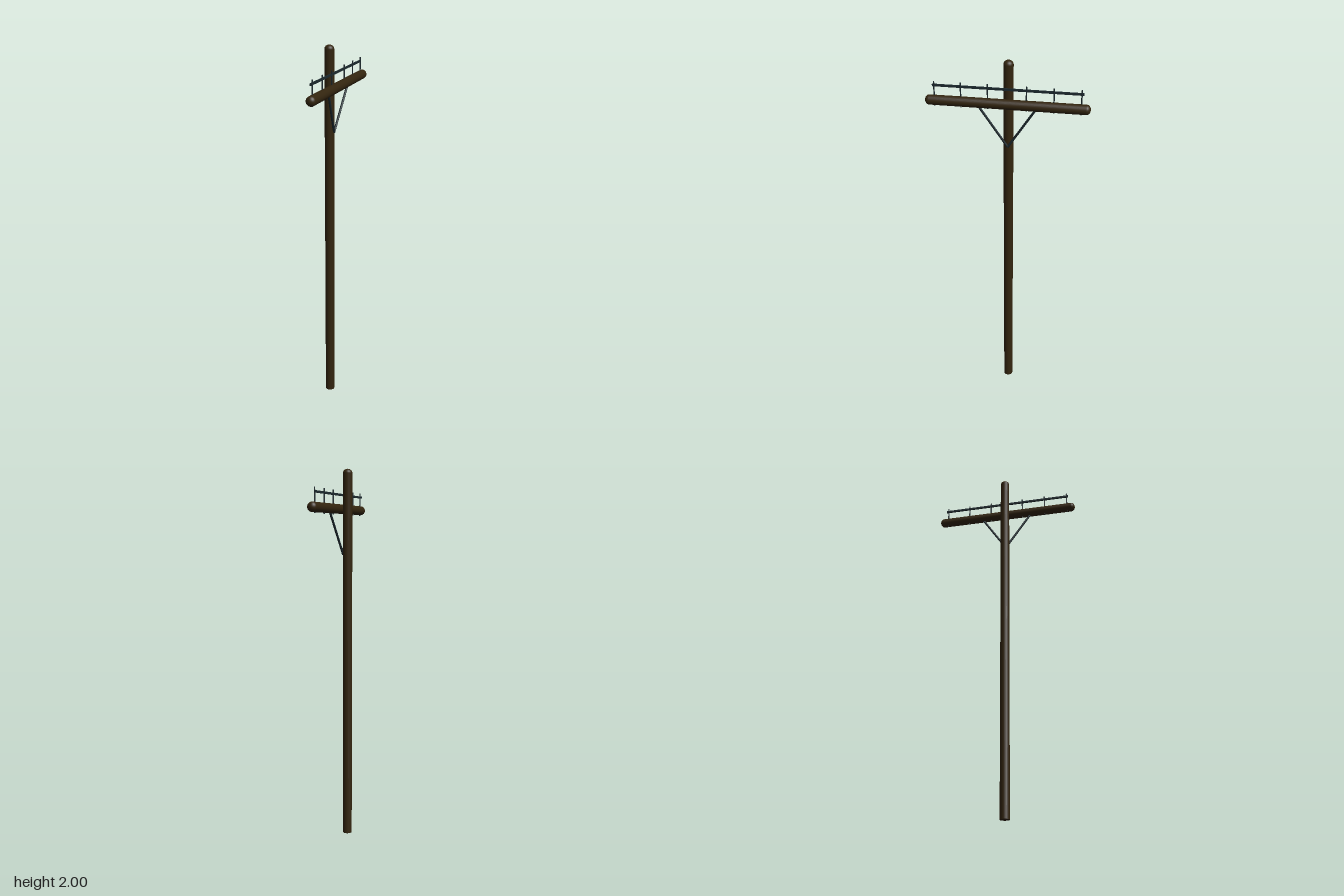
import * as THREE from 'three';

const wood = new THREE.MeshStandardMaterial({ color: 0x33250f });
wood.name = 'dark wood';
const metal = new THREE.MeshStandardMaterial({ color: 0x1c292e });
metal.name = 'dark metal';

// Half outline of a dome, from the shoulder up to the tip
function dome(radius, base, height) {
  const points = [];
  for (let i = 0; i <= 6; i++) {
    const a = (i / 6) * Math.PI / 2;
    points.push(new THREE.Vector2(i === 6 ? 0 : radius * Math.cos(a), base + height * Math.sin(a)));
  }
  return points;
}

// Round rod between two points
function rod(name, from, to, radius) {
  const a = new THREE.Vector3(...from), b = new THREE.Vector3(...to);
  const mesh = new THREE.Mesh(new THREE.CylinderGeometry(radius, radius, a.distanceTo(b), 10), metal);
  mesh.position.copy(a).lerp(b, 0.5);
  mesh.quaternion.setFromUnitVectors(new THREE.Vector3(0, 1, 0), b.sub(a).normalize());
  mesh.name = name;
  return mesh;
}

export function createModel() {
  const group = new THREE.Group();
  group.name = 'utilityPole';
  const R = 0.025;

  // Upright pole with a flat foot and domed top
  const foot = [new THREE.Vector2(0, 0), new THREE.Vector2(R, 0), new THREE.Vector2(R, 0.001)];
  const pole = new THREE.Mesh(new THREE.LatheGeometry([...foot, ...dome(R, 1.978, 0.022)], 24), wood);
  pole.position.x = -R;
  pole.name = 'pole';
  group.add(pole);

  // Crossarm with both ends rounded, lying along z
  const end = dome(R, 0.385, 0.021);
  const start = end.map((p) => new THREE.Vector2(p.x, -p.y)).reverse();
  const arm = new THREE.Mesh(new THREE.LatheGeometry([...start, ...end], 24), wood);
  arm.rotation.x = Math.PI / 2;
  arm.position.set(R, 1.795, 0);
  arm.name = 'crossarm';
  group.add(arm);

  // Pins through the crossarm, and diagonal braces, mirrored in z
  for (const side of [1, -1]) {
    for (const z of [0.095, 0.228, 0.36]) {
      group.add(rod('pin', [0.022, 1.765, side * z], [0.022, 1.89, side * z], 0.0035));
    }
    group.add(rod('brace', [0, 1.557, 0], [0.023, 1.778, side * 0.142], 0.006));
  }

  // Rail along the pins
  const rail = new THREE.Mesh(new THREE.BoxGeometry(0.008, 0.011, 0.74), metal);
  rail.position.set(0.017, 1.868, 0);
  rail.name = 'rail';
  group.add(rail);

  return group;
}
